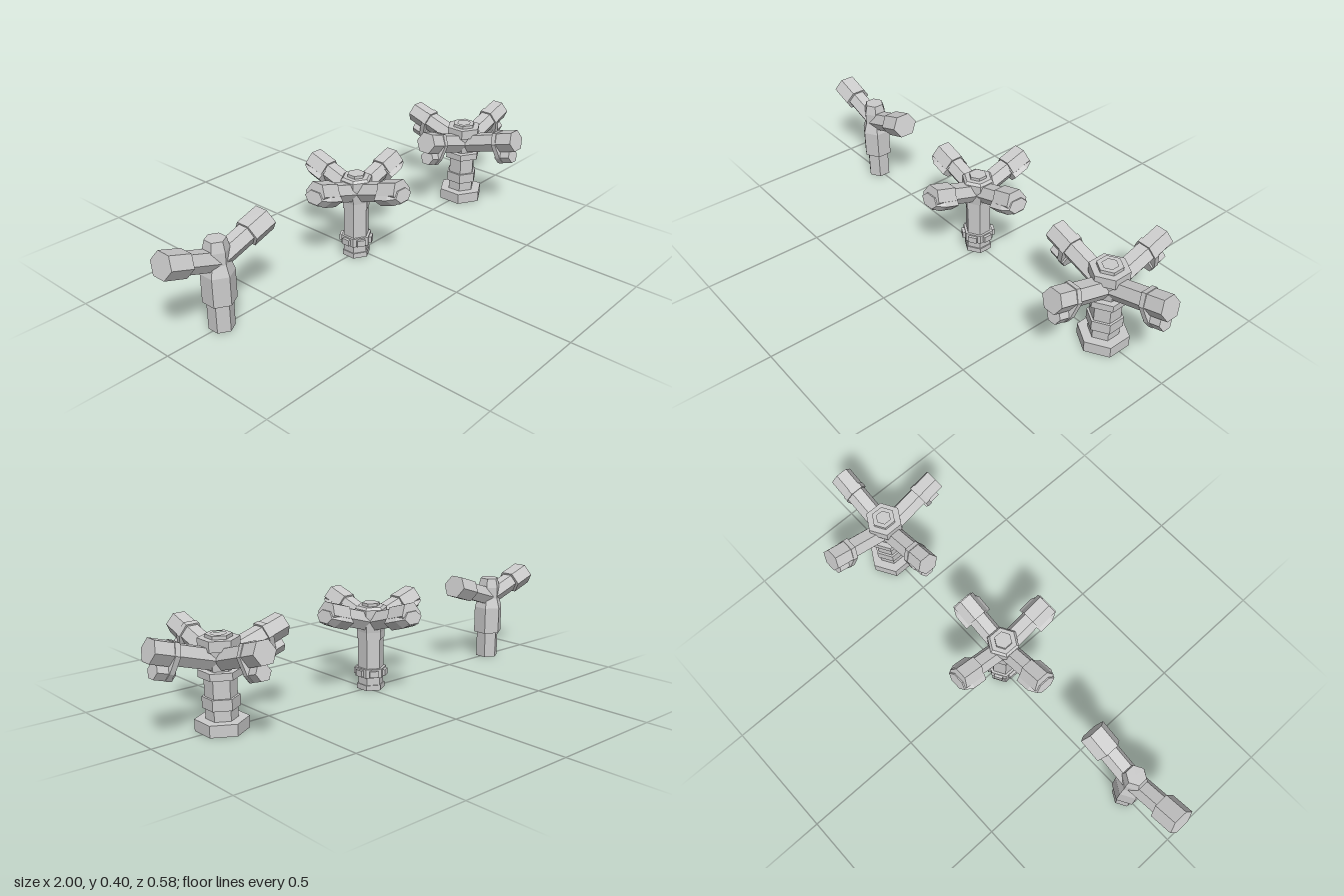
import * as THREE from 'three';

const material = new THREE.MeshStandardMaterial({ color: 0xcccccc, flatShading: true });

function add(parent, geometry, name) {
  const mesh = new THREE.Mesh(geometry, material);
  mesh.name = name;
  parent.add(mesh);
  return mesh;
}

// Upright six-sided section from y0 to y1, with corners on +z and -z
function column(parent, name, y0, y1, r0, r1 = r0) {
  const g = new THREE.CylinderGeometry(r1, r0, y1 - y0, 6);
  g.translate(0, (y0 + y1) / 2, 0);
  return add(parent, g, name);
}

// Six-sided section lying along an arm (+x) from u0 to u1, flat side up
function barrel(parent, name, u0, u1, r0, r1 = r0, v = 0, high = 1, wide = 1) {
  const g = new THREE.CylinderGeometry(r1, r0, u1 - u0, 6);
  g.rotateZ(-Math.PI / 2);
  g.scale(1, high, wide);
  g.translate((u0 + u1) / 2, v, 0);
  return add(parent, g, name);
}

// Raised arms, evenly spread around the hub
function arms(parent, count, height, degrees, build) {
  for (let i = 0; i < count; i++) {
    const turn = new THREE.Group();
    turn.name = 'armTurn';
    turn.rotation.y = (i * Math.PI * 2) / count;
    const arm = new THREE.Group();
    arm.name = 'arm';
    arm.position.y = height;
    arm.rotation.z = THREE.MathUtils.degToRad(degrees);
    build(arm);
    turn.add(arm);
    parent.add(turn);
  }
}

function hexPoints(r) {
  return Array.from({ length: 6 }, (_, i) =>
    new THREE.Vector2(Math.sin((i * Math.PI) / 3) * r, Math.cos((i * Math.PI) / 3) * r));
}

// Six-sided ring with an open middle
function hexRing(parent, name, y0, y1, outer, inner) {
  const shape = new THREE.Shape(hexPoints(outer));
  shape.holes.push(new THREE.Path(hexPoints(inner)));
  const g = new THREE.ExtrudeGeometry(shape, { depth: y1 - y0, bevelEnabled: false });
  g.rotateX(-Math.PI / 2);
  g.translate(0, y0, 0);
  return add(parent, g, name);
}

// Small post with two arms
function twoArmPost() {
  const post = new THREE.Group();
  post.name = 'twoArmPost';
  column(post, 'stem', 0, 0.118, 0.05);
  column(post, 'body', 0.115, 0.232, 0.064);
  column(post, 'shoulder', 0.232, 0.275, 0.064, 0.05);
  column(post, 'hub', 0.275, 0.325, 0.05);
  column(post, 'cap', 0.325, 0.365, 0.05, 0.04);
  arms(post, 2, 0.278, 18.5, (arm) => {
    barrel(arm, 'armTube', 0, 0.17, 0.043);
    barrel(arm, 'armTip', 0.148, 0.246, 0.052, 0.052, 0, 1, 1.12);
  });
  return post;
}

// Medium post with four arms and a lugged band
function shelledPost() {
  const post = new THREE.Group();
  post.name = 'shelledPost';
  column(post, 'foot', 0, 0.022, 0.058);
  column(post, 'stem', 0, 0.25, 0.053);
  column(post, 'band', 0.055, 0.092, 0.064);
  for (let i = 0; i < 6; i++) {
    const a = (i * Math.PI) / 3 + Math.PI / 6;
    const lug = add(post, new THREE.BoxGeometry(0.036, 0.026, 0.022), 'bandLug');
    lug.position.set(Math.sin(a) * 0.056, 0.073, Math.cos(a) * 0.056);
    lug.rotation.y = a;
  }
  column(post, 'collar', 0.215, 0.245, 0.057);
  column(post, 'hub', 0.245, 0.31, 0.057, 0.066);
  column(post, 'hubCap', 0.31, 0.34, 0.066);
  column(post, 'capBevel', 0.34, 0.35, 0.066, 0.056);
  column(post, 'capNub', 0.35, 0.362, 0.036);
  arms(post, 4, 0.28, 17.5, (arm) => {
    barrel(arm, 'armTube', 0, 0.17, 0.042);
    barrel(arm, 'armTip', 0.155, 0.246, 0.05);
    // Wide tapered shell under the tip
    barrel(arm, 'tipShell', 0.15, 0.215, 0.062, 0.062, -0.015, 0.62, 1.02);
    barrel(arm, 'shellNose', 0.215, 0.251, 0.062, 0.045, -0.015, 0.62, 1.02);
  });
  return post;
}

// Large post with four arms, each with a second barrel slung below
function doubleBarrelPost() {
  const post = new THREE.Group();
  post.name = 'doubleBarrelPost';
  column(post, 'base', 0, 0.046, 0.1);
  column(post, 'stem', 0.046, 0.21, 0.06);
  column(post, 'stemBand', 0.088, 0.131, 0.07);
  column(post, 'collar', 0.204, 0.232, 0.08);
  column(post, 'hub', 0.232, 0.31, 0.055, 0.066);
  column(post, 'hubCap', 0.308, 0.349, 0.077);
  hexRing(post, 'capRing', 0.349, 0.362, 0.05, 0.03);

  // Bracket outline joining both barrels
  const half = [[0.027, 0.045], [0.051, 0], [0.037, -0.066], [0.019, -0.095]];
  const outline = [...half, ...half.map(([w, v]) => [-w, v]).reverse()];
  const bracketShape = new THREE.Shape(outline.map(([w, v]) => new THREE.Vector2(w, v)));

  arms(post, 4, 0.263, 17.3, (arm) => {
    barrel(arm, 'armTube', 0, 0.22, 0.044);
    barrel(arm, 'armTip', 0.214, 0.292, 0.0485);
    barrel(arm, 'lowerBarrel', 0.186, 0.26, 0.033, 0.033, -0.066);
    const g = new THREE.ExtrudeGeometry(bracketShape, { depth: 0.021, bevelEnabled: false });
    g.rotateY(Math.PI / 2);
    g.translate(0.193, 0, 0);
    add(arm, g, 'bracket');
  });
  return post;
}

export function createModel() {
  const model = new THREE.Group();
  model.name = 'threePosts';
  [[twoArmPost(), -0.753], [shelledPost(), -0.022], [doubleBarrelPost(), 0.708]].forEach(([post, x]) => {
    post.position.x = x;
    model.add(post);
  });
  return model;
}
